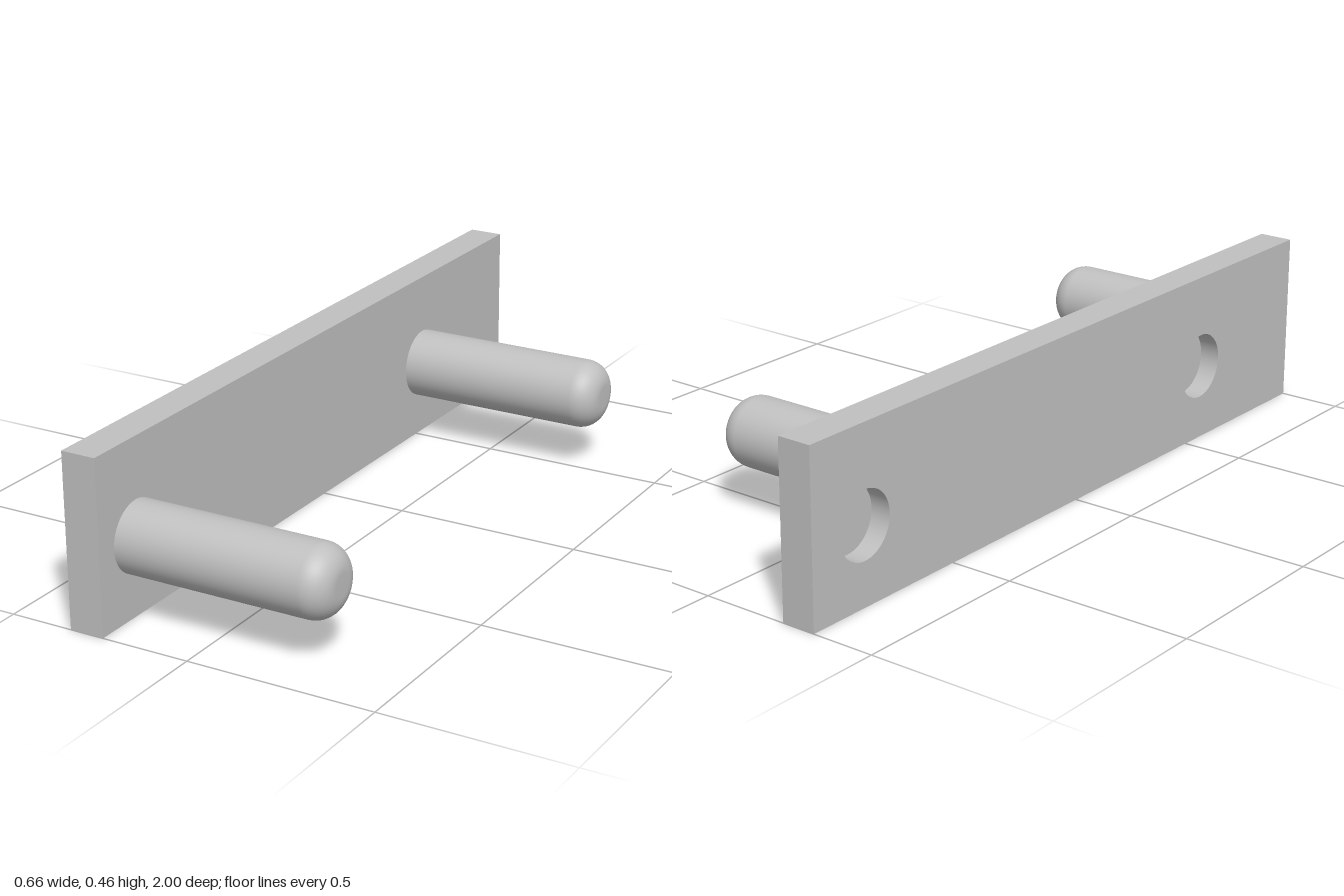
import * as THREE from 'three';

const BACK = -0.33, FACE = -0.237, TIP = 0.328; // x of plate back, plate face, peg ends
const HEIGHT = 0.456, AXIS_Y = 0.205;
const SOCKET_DEPTH = 0.055, SOCKET_R = 0.088;
const PEG_R = 0.093, FILLET = 0.064;

export function createModel() {
  const group = new THREE.Group();
  const grey = new THREE.MeshStandardMaterial({ color: 0xc0c0c0 });
  grey.name = 'grey';

  const add = (name, geometry, x, y, z) => {
    const mesh = new THREE.Mesh(geometry, grey);
    mesh.name = name;
    mesh.position.set(x, y, z);
    group.add(mesh);
  };

  // Rear layer of the plate, pierced by the two round sockets
  const outline = new THREE.Shape();
  outline.moveTo(-1, 0).lineTo(1, 0).lineTo(1, HEIGHT).lineTo(-1, HEIGHT).closePath();
  for (const z of [-0.82, 0.56]) {
    const hole = new THREE.Path();
    hole.absarc(-z, AXIS_Y, SOCKET_R, 0, Math.PI * 2, true);
    outline.holes.push(hole);
  }
  const rear = new THREE.ExtrudeGeometry(outline, {
    depth: SOCKET_DEPTH, bevelEnabled: false, curveSegments: 48,
  });
  rear.rotateY(Math.PI / 2);
  add('plateRearWithSockets', rear, BACK, 0, 0);

  // Solid front layer, which closes the sockets
  const solid = FACE - BACK - SOCKET_DEPTH;
  add('plateFront', new THREE.BoxGeometry(solid, HEIGHT, 2), FACE - solid / 2, HEIGHT / 2, 0);

  // Pegs with rounded ends
  const length = TIP - FACE;
  const profile = [new THREE.Vector2(PEG_R, 0)];
  for (let i = 0; i <= 10; i++) {
    const a = (i / 10) * Math.PI / 2;
    profile.push(new THREE.Vector2(
      PEG_R - FILLET + FILLET * Math.cos(a),
      length - FILLET + FILLET * Math.sin(a),
    ));
  }
  profile.push(new THREE.Vector2(0, length));
  const peg = new THREE.LatheGeometry(profile, 48);
  peg.rotateZ(-Math.PI / 2);
  add('frontPeg', peg, FACE, AXIS_Y, 0.848);
  add('backPeg', peg, FACE, AXIS_Y, -0.533);

  return group;
}
